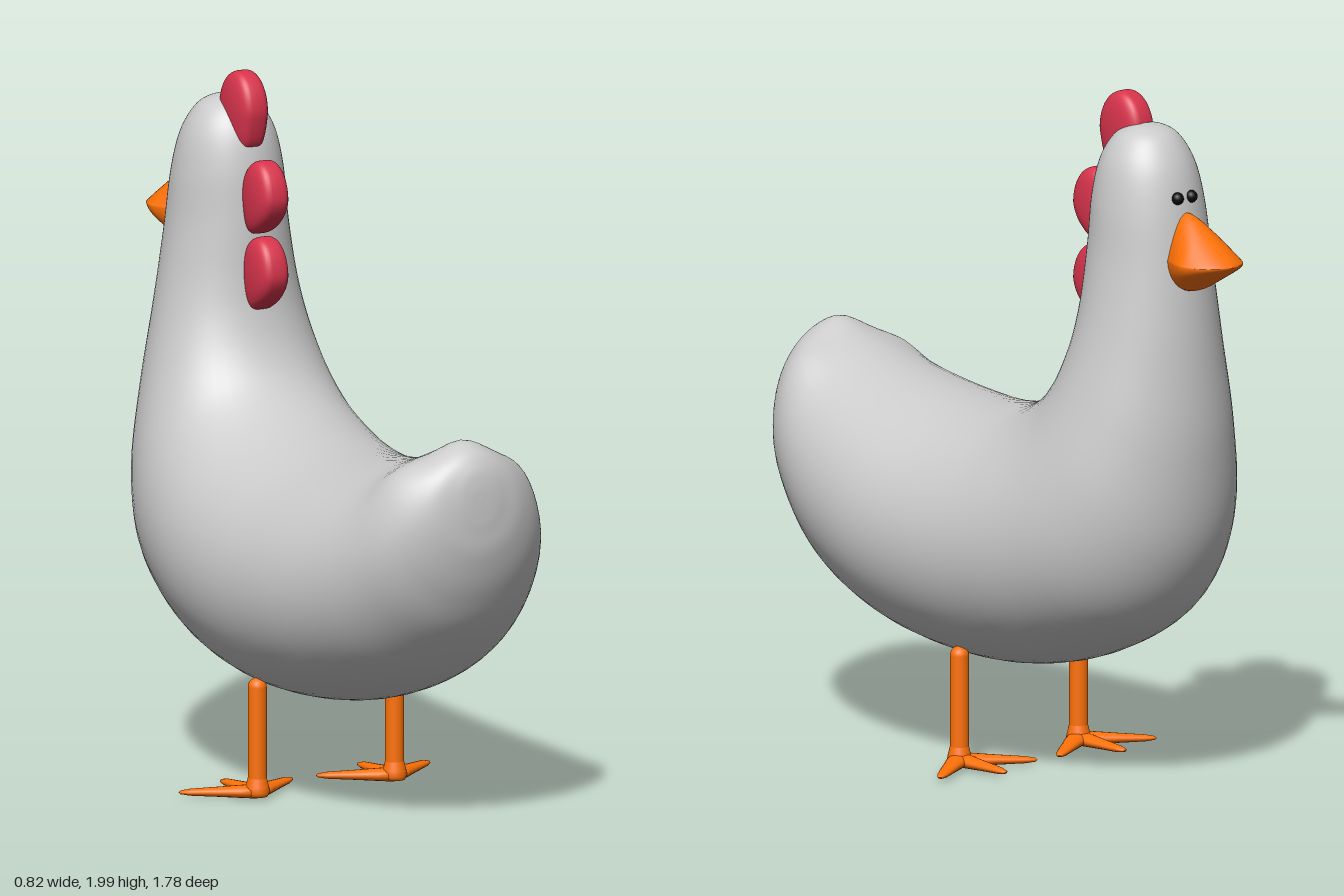
import * as THREE from 'three';

const grey = new THREE.MeshStandardMaterial({ color: 0xcccccc });
const orange = new THREE.MeshStandardMaterial({ color: 0xff7208 });
const red = new THREE.MeshStandardMaterial({ color: 0xd8344c });
const black = new THREE.MeshStandardMaterial({ color: 0x0a0a0a });

function mesh(name, geometry, material, parent) {
  const m = new THREE.Mesh(geometry, material);
  m.name = name;
  parent.add(m);
  return m;
}

// Skin of closed rings; at(t, a) gives a point for t in 0..1 and angle a
function loft(rings, sides, at) {
  const pos = [], index = [];
  for (let i = 0; i <= rings; i++) {
    for (let j = 0; j < sides; j++) pos.push(...at(i / rings, (j / sides) * Math.PI * 2));
  }
  for (let i = 0; i < rings; i++) {
    for (let j = 0; j < sides; j++) {
      const k = (j + 1) % sides;
      const a = i * sides + j, b = i * sides + k, c = a + sides, d = b + sides;
      index.push(a, c, b, b, c, d);
    }
  }
  const g = new THREE.BufferGeometry();
  g.setAttribute('position', new THREE.Float32BufferAttribute(pos, 3));
  g.setIndex(index);
  g.computeVertexNormals();
  return g;
}

// Smooth curve through points, all curves sharing the same parameter
const spline = (pts) =>
  new THREE.CatmullRomCurve3(pts.map((p) => new THREE.Vector3(...p)), false, 'catmullrom', 0.5);

// Body sections from tail to crown: inner z, inner y, outer z, outer y, half width
const SECTIONS = [
  [0.888, 1.0, 0.888, 1.0, 0.0],
  [0.884, 1.045, 0.889, 0.955, 0.04],
  [0.872, 1.09, 0.888, 0.91, 0.08],
  [0.84, 1.125, 0.88, 0.83, 0.15],
  [0.78, 1.135, 0.842, 0.71, 0.225],
  [0.7, 1.115, 0.765, 0.58, 0.285],
  [0.55, 1.065, 0.6, 0.43, 0.345],
  [0.35, 1.028, 0.37, 0.335, 0.39],
  [0.15, 1.015, 0.12, 0.293, 0.405],
  [-0.03, 1.035, -0.12, 0.298, 0.403],
  [-0.15, 1.075, -0.36, 0.36, 0.387],
  [-0.24, 1.14, -0.585, 0.49, 0.352],
  [-0.295, 1.22, -0.708, 0.7, 0.308],
  [-0.33, 1.32, -0.745, 0.98, 0.255],
  [-0.347, 1.43, -0.737, 1.25, 0.21],
  [-0.356, 1.58, -0.717, 1.5, 0.176],
  [-0.367, 1.72, -0.694, 1.68, 0.159],
  [-0.39, 1.82, -0.665, 1.8, 0.135],
  [-0.428, 1.883, -0.622, 1.877, 0.096],
  [-0.477, 1.912, -0.578, 1.909, 0.053],
  [-0.528, 1.92, -0.528, 1.92, 0.0],
];

function bodyGeometry() {
  const inner = spline(SECTIONS.map((s) => [s[4], s[1], s[0]]));
  const outer = spline(SECTIONS.map((s) => [s[4], s[3], s[2]]));
  // Soft feather lumps on the tail: x, z, lift
  const lumps = [[0, 0.78, 0.022], [0.21, 0.73, 0.022], [-0.21, 0.73, 0.022]];
  return loft(120, 56, (t, a) => {
    const p = inner.getPoint(t), q = outer.getPoint(t);
    const s = (1 + Math.sin(a)) / 2;
    const x = Math.max(0, p.x) * Math.cos(a);
    let y = q.y + (p.y - q.y) * s;
    const z = q.z + (p.z - q.z) * s;
    for (const [lx, lz, lift] of lumps) {
      const d = ((x - lx) ** 2 + (z - lz) ** 2) / 0.07 ** 2;
      y += lift * Math.exp(-d) * THREE.MathUtils.smoothstep(s, 0.5, 0.75);
    }
    return [x, y, z];
  });
}

// Bill: wide rounded lip, ridged above and round below
function beakGeometry() {
  // z, half width, top, bottom
  const rows = [
    [-0.66, 0.06, 1.69, 1.47], [-0.71, 0.08, 1.682, 1.464], [-0.75, 0.096, 1.66, 1.472],
    [-0.79, 0.102, 1.63, 1.495], [-0.84, 0.082, 1.594, 1.524], [-0.872, 0.046, 1.57, 1.543],
    [-0.886, 0, 1.557, 1.555],
  ];
  const size = spline(rows.map((r) => [r[1], r[2], r[3]]));
  const depth = spline(rows.map((r) => [0, 0, r[0]]));
  return loft(30, 40, (t, a) => {
    const p = size.getPoint(t), s = Math.sin(a), mid = 1.556;
    const y = s > 0 ? mid + (p.y - mid) * s * s : mid + (mid - p.z) * s;
    return [Math.max(0, p.x) * Math.cos(a), y, depth.getPoint(t).z];
  });
}

// Comb lobe: flat-sided blob whose lower end leans into the neck
function lobeGeometry(rz, ry, lean) {
  const g = new THREE.SphereGeometry(1, 40, 28);
  const p = g.attributes.position;
  for (let i = 0; i < p.count; i++) {
    const x = p.getX(i), y = p.getY(i), z = p.getZ(i);
    const low = Math.max(0, -y);
    p.setXYZ(i, Math.sign(x) * Math.abs(x) ** 0.55 * 0.052, y * ry,
      z * rz * (1 - 0.2 * low) + lean * low * low);
  }
  g.computeVertexNormals();
  return g;
}

function makeLeg(side) {
  const leg = new THREE.Group();
  leg.name = side > 0 ? 'leftLeg' : 'rightLeg';
  leg.position.set(side * 0.225, 0, 0.021);
  mesh('shank', new THREE.CapsuleGeometry(0.027, 0.28, 8, 20), orange, leg).position.y = 0.187;
  // Flared ankle running into the toes
  const flare = [[0, 0.008], [0.03, 0.012], [0.036, 0.024], [0.033, 0.04], [0.027, 0.065]];
  mesh('ankle', new THREE.LatheGeometry(flare.map((p) => new THREE.Vector2(...p)), 24), orange, leg);
  // Three tapered toes, spread forward
  for (const [dx, dz] of [[-0.185, -0.125], [0, -0.2], [0.185, -0.125]]) {
    const length = Math.hypot(dx, dz);
    const profile = [[0, 0], [0.034, 0], [0.03, 0.2], [0.023, 0.5], [0.016, 0.85], [0.009, 0.97], [0, 1]]
      .map(([r, h]) => new THREE.Vector2(r, h * length));
    const g = new THREE.LatheGeometry(profile, 16);
    g.rotateX(-Math.PI / 2);
    g.scale(1, 0.6, 1);
    const toe = mesh('toe', g, orange, leg);
    toe.position.y = 0.026;
    toe.rotation.set(-0.03, Math.atan2(-dx, -dz), 0, 'YXZ');
  }
  return leg;
}

export function createModel() {
  const bird = new THREE.Group();
  bird.name = 'hen';
  mesh('body', bodyGeometry(), grey, bird);
  mesh('beak', beakGeometry(), orange, bird);

  // Comb lobes: y, z, z radius, y radius, lean of the lower end
  const lobes = [
    [1.888, -0.437, 0.086, 0.112, 0.03],
    [1.653, -0.317, 0.078, 0.108, -0.035],
    [1.433, -0.317, 0.078, 0.108, -0.035],
  ];
  for (const [y, z, rz, ry, lean] of lobes) {
    mesh('combLobe', lobeGeometry(rz, ry, lean), red, bird).position.set(0, y, z);
  }

  for (const side of [-1, 1]) {
    const eye = mesh(side > 0 ? 'leftEye' : 'rightEye', new THREE.SphereGeometry(0.018, 16, 12), black, bird);
    eye.position.set(side * 0.026, 1.728, -0.683);
    bird.add(makeLeg(side));
  }
  return bird;
}
